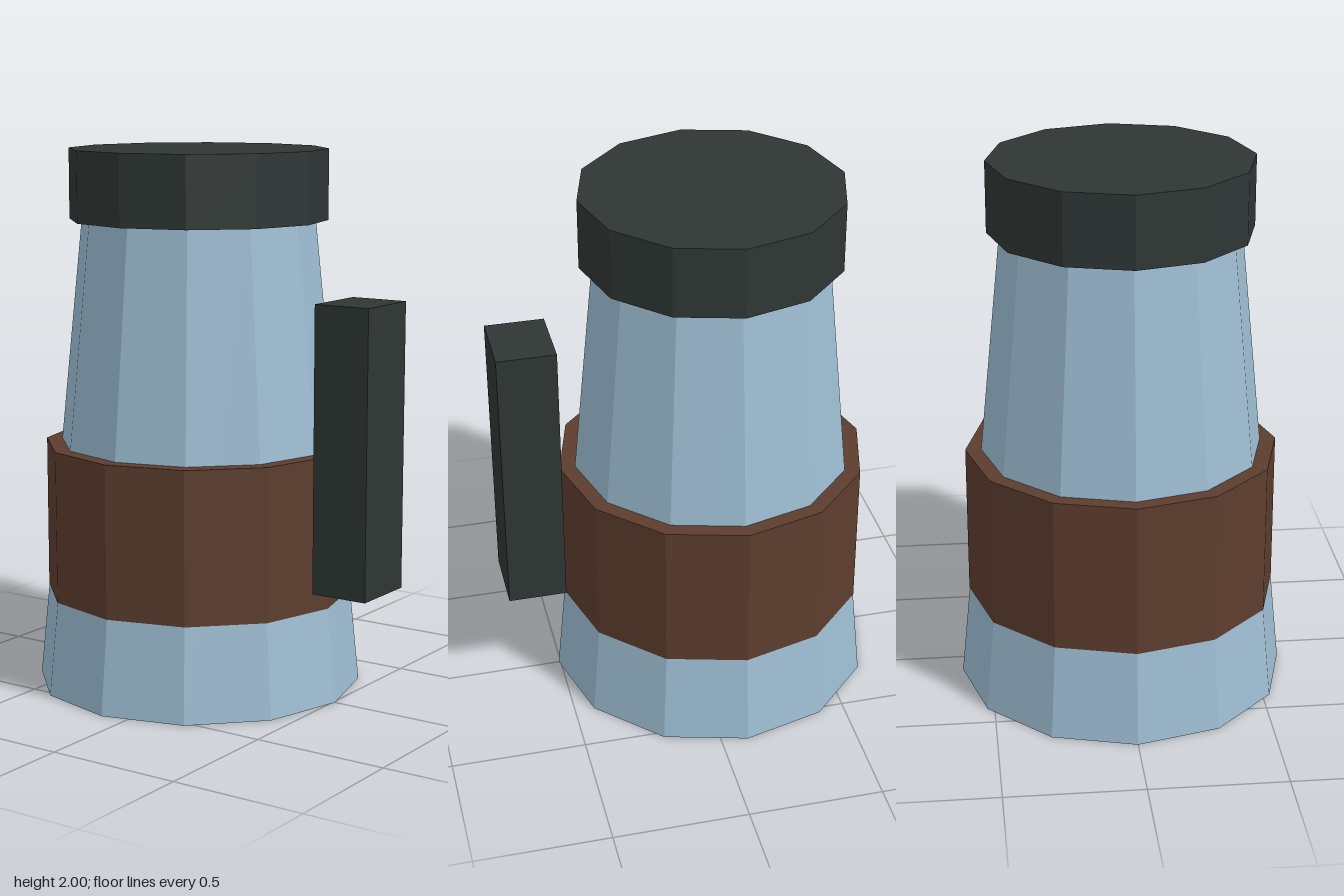
import * as THREE from 'three';

const paint = (name, color) => {
  const m = new THREE.MeshStandardMaterial({ color, flatShading: true });
  m.name = name;
  return m;
};

export function createModel() {
  const paleBlue = paint('paleBlue', 0x9dbdd2);
  const brown = paint('brown', 0x5c3d2e);
  const charcoal = paint('charcoal', 0x2e3634);

  const model = new THREE.Group();
  model.name = 'flask';
  const axisX = -0.1; // the handle shifts the body off centre

  // Twelve-sided drum between two heights
  const drum = (name, y0, y1, rBottom, rTop, material) => {
    const mesh = new THREE.Mesh(new THREE.CylinderGeometry(rTop, rBottom, y1 - y0, 12), material);
    mesh.name = name;
    mesh.position.set(axisX, (y0 + y1) / 2, 0);
    model.add(mesh);
  };

  drum('body', 0, 1.745, 0.608, 0.432, paleBlue);
  drum('gripBand', 0.35, 0.914, 0.574, 0.574, brown);
  drum('lid', 1.74, 2, 0.478, 0.478, charcoal);

  // Upright handle bar beside the body
  const handle = new THREE.Mesh(new THREE.BoxGeometry(0.217, 1.044, 0.26), charcoal);
  handle.name = 'handle';
  handle.position.set(0.596, 0.957, 0);
  model.add(handle);

  return model;
}
